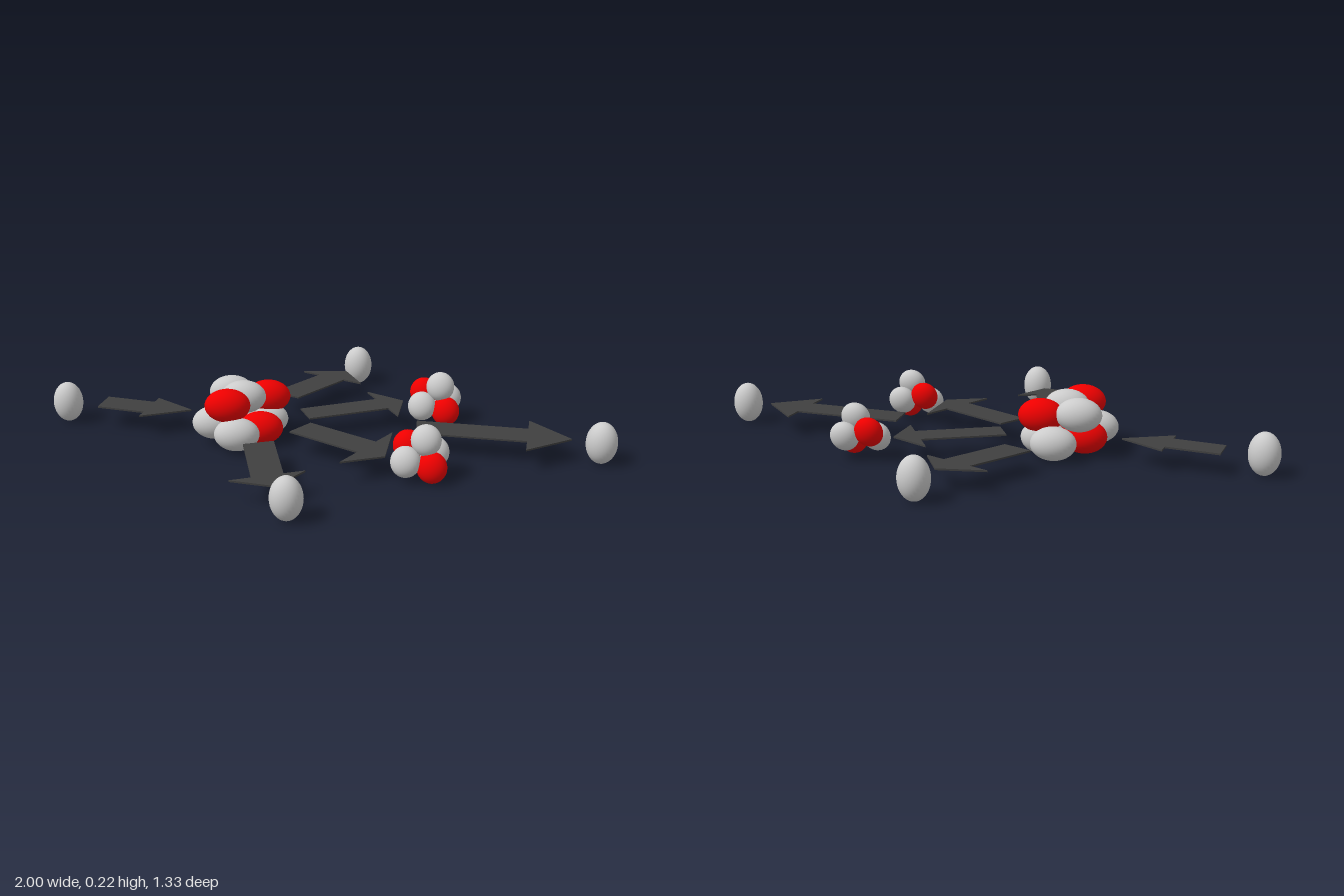
import * as THREE from 'three';

const grey = new THREE.MeshStandardMaterial({ color: 0xcccccc });
const red = new THREE.MeshStandardMaterial({ color: 0xee0000 });
const dark = new THREE.MeshStandardMaterial({ color: 0x404040 });
const ball = new THREE.SphereGeometry(1, 32, 20);
const MID = 0.075; // height of the arrow plane

// Squashed ball: centre, radii, tilt
function nucleon(name, material, pos, radii, tilt = [0, 0, 0]) {
  const mesh = new THREE.Mesh(ball, material);
  mesh.name = name;
  mesh.position.set(...pos);
  mesh.scale.set(...radii);
  mesh.rotation.set(...tilt);
  return mesh;
}

// Group of balls: rows of [isRed, x, y, z]
function cluster(name, rows, radii, tilt) {
  const group = new THREE.Group();
  group.name = name;
  for (const [isRed, ...pos] of rows) {
    group.add(nucleon(isRed ? 'proton' : 'neutron', isRed ? red : grey, pos, radii, tilt));
  }
  return group;
}

// Flat block arrow from [x, z] points: two tail corners, left wing, tip, right wing
function arrow(name, tailL, tailR, wingL, tip, wingR) {
  const v = ([x, z]) => new THREE.Vector2(x, -z);
  const [a, b, l, t, r] = [tailL, tailR, wingL, tip, wingR].map(v);
  const half = a.distanceTo(b) / 2;
  const neck = l.clone().add(r).multiplyScalar(0.5);
  const side = l.clone().sub(r).normalize().multiplyScalar(half);
  const shape = new THREE.Shape([a, neck.clone().add(side), l, t, r, neck.clone().sub(side), b]);
  const geo = new THREE.ExtrudeGeometry(shape, { depth: 0.006, bevelEnabled: false });
  geo.rotateX(-Math.PI / 2);
  const mesh = new THREE.Mesh(geo, dark);
  mesh.name = name;
  mesh.position.y = MID - 0.003;
  return mesh;
}

export function createModel() {
  const model = new THREE.Group();
  model.name = 'fissionDiagram';

  // Single free neutrons
  const free = [
    ['incomingNeutron', -0.947, -0.03],
    ['backNeutron', 0.027, -0.617],
    ['frontNeutron', 0, 0.617],
    ['farNeutron', 0.947, 0.014],
  ];
  for (const [name, x, z] of free) {
    model.add(nucleon(name, grey, [x, 0.073, z], [0.053, 0.073, 0.05]));
  }

  // Large nucleus
  model.add(cluster('largeNucleus', [
    [0, -0.265, 0.062, -0.105],
    [1, -0.205, 0.14, -0.045],
    [0, -0.335, 0.15, -0.04],
    [0, -0.275, 0.16, 0.03],
    [1, -0.31, 0.158, 0.118],
    [0, -0.365, 0.08, 0.085],
    [0, -0.275, 0.062, 0.137],
    [1, -0.21, 0.06, 0.058],
    [1, -0.345, 0.065, 0.0],
    [0, -0.21, 0.06, -0.03],
  ], [0.078, 0.058, 0.054], [0, 0.2, 0]));

  // Two small nuclei, the same arrangement at the front and the back
  for (const [name, z] of [['frontSmallNucleus', 0.242], ['backSmallNucleus', -0.262]]) {
    const nucleus = cluster(name, [
      [1, 0.32, 0.1, -0.03],
      [0, 0.405, 0.08, -0.038],
      [1, 0.405, 0.052, 0.028],
      [0, 0.32, 0.068, 0.033],
      [0, 0.382, 0.137, 0.006],
    ], [0.05, 0.052, 0.038], [-0.3, 0, 0]);
    nucleus.position.z = z;
    model.add(nucleus);
  }

  // Arrows
  model.add(
    arrow('incomingArrow', [-0.815, -0.09], [-0.82, 0.01], [-0.63, -0.11], [-0.48, -0.02], [-0.645, 0.07]),
    arrow('backArrow', [-0.23, -0.25], [-0.13, -0.21], [-0.165, -0.49], [-0.005, -0.522], [0.07, -0.4]),
    arrow('backRightArrow', [-0.1, -0.1], [-0.05, -0.015], [0.11, -0.31], [0.25, -0.245], [0.25, -0.095]),
    arrow('frontRightArrow', [-0.04, 0.025], [-0.095, 0.115], [0.25, 0.06], [0.252, 0.265], [0.115, 0.335]),
    arrow('frontArrow', [-0.13, 0.205], [-0.225, 0.25], [0.02, 0.42], [-0.048, 0.55], [-0.2, 0.535]),
    arrow('farArrow', [0.32, -0.06], [0.33, 0.05], [0.705, -0.13], [0.85, 0.01], [0.7, 0.13]),
  );
  return model;
}
